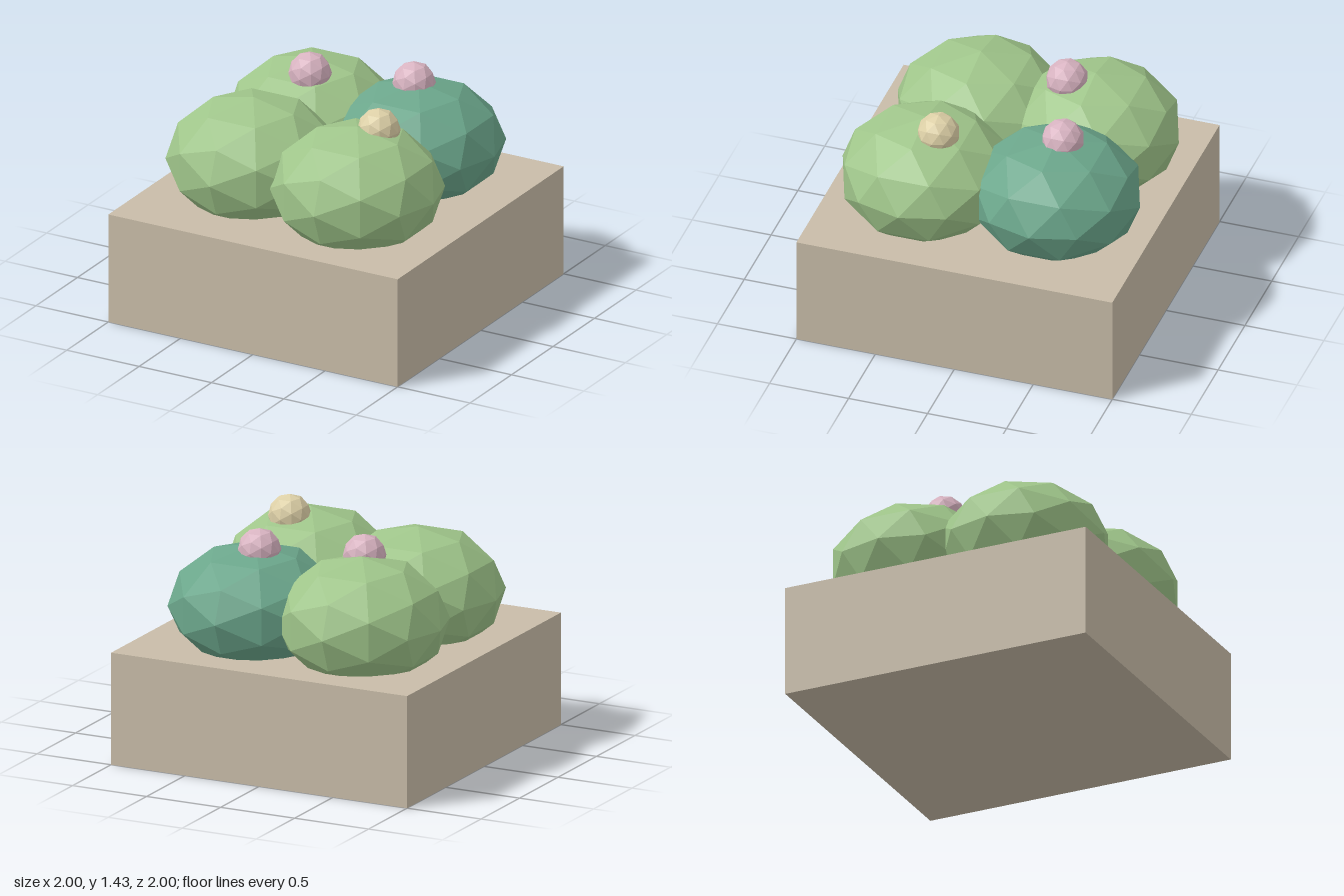
import * as THREE from 'three';

const mat = (name, color) => {
  const m = new THREE.MeshStandardMaterial({ color, flatShading: true });
  m.name = name;
  return m;
};

export function createModel() {
  const stone = mat('beige stone', 0xc8bca8);
  const green = mat('leaf green', 0x9fc58a);
  const teal = mat('teal green', 0x6ba68b);
  const pink = mat('blossom pink', 0xd8b3c1);
  const cream = mat('blossom cream', 0xdccfa6);

  const group = new THREE.Group();
  group.name = 'planter';

  // Solid square planter
  const box = new THREE.Mesh(new THREE.BoxGeometry(2, 0.7, 2), stone);
  box.name = 'planterBox';
  box.position.y = 0.35;
  group.add(box);

  // Faceted ball, optionally squashed in height
  const ball = (name, material, radius, height, x, y, z) => {
    const mesh = new THREE.Mesh(new THREE.IcosahedronGeometry(radius, 1), material);
    mesh.name = name;
    mesh.scale.y = height / radius;
    mesh.position.set(x, y, z);
    group.add(mesh);
  };

  // Rounded shrubs, sunk into the planter
  const R = 0.527;
  ball('shrubBackRight', green, R, 0.393, -0.397, 0.945, -0.42);
  ball('shrubFrontRight', green, R, 0.393, -0.397, 0.945, 0.305);
  ball('shrubFrontLeft', green, R, 0.393, 0.373, 0.945, 0.393);
  ball('shrubBackLeft', teal, R, 0.377, 0.328, 0.945, -0.42);

  // Blossoms resting on the shrubs
  const r = 0.131;
  ball('blossomBackRight', pink, r, r, -0.33, 1.3, -0.263);
  ball('blossomBackLeft', pink, r, r, 0.285, 1.3, -0.445);
  ball('blossomFrontLeft', cream, r, r, 0.46, 1.3, 0.284);

  return group;
}
